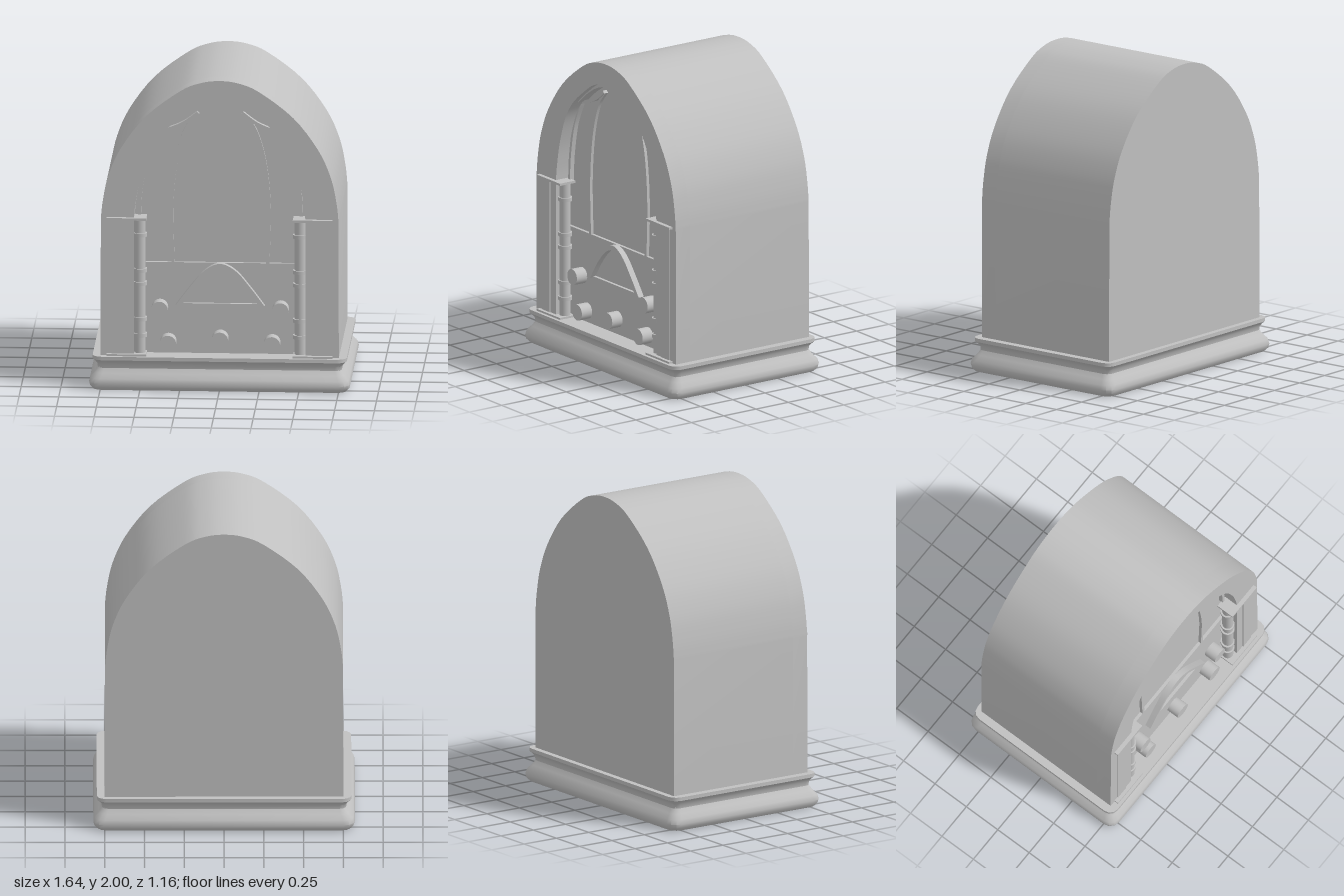
import * as THREE from 'three';
import { toCreasedNormals } from 'three/addons/utils/BufferGeometryUtils.js';

const grey = new THREE.MeshStandardMaterial({ color: 0xc0c0c0 });
grey.name = 'plain grey';

const FRONT = 0.51, BACK = -0.52, PANEL = 0.4, LOWER = 0.42;

function add(parent, name, geometry, x = 0, y = 0, z = 0) {
  const mesh = new THREE.Mesh(geometry, grey);
  mesh.name = name;
  mesh.position.set(x, y, z);
  parent.add(mesh);
  return mesh;
}

// Smooth symmetric arch from left to right, given its left half up to the crown
function arch(half, n = 56) {
  const right = half.slice(0, -1).reverse().map(([x, y]) => [-x, y]);
  return new THREE.SplineCurve([...half, ...right].map(p => new THREE.Vector2(...p))).getPoints(n);
}

function slab(points, depth) {
  const g = new THREE.ExtrudeGeometry(new THREE.Shape(points), { depth, bevelEnabled: false });
  return toCreasedNormals(g, 0.5);
}

// Flat curved rib of constant width
function rib(pts, width, depth) {
  const curve = new THREE.SplineCurve(pts.map(p => new THREE.Vector2(...p)));
  const a = [], b = [];
  for (let i = 0; i <= 24; i++) {
    const p = curve.getPoint(i / 24), t = curve.getTangent(i / 24);
    a.push(new THREE.Vector2(p.x - t.y * width / 2, p.y + t.x * width / 2));
    b.unshift(new THREE.Vector2(p.x + t.y * width / 2, p.y - t.x * width / 2));
  }
  return slab([...a, ...b], depth);
}

// Rectangular moulding: sweeps a profile of [inset, y] around a rounded rectangle
function moulding(profile, hx, hz) {
  const pos = [], idx = [], steps = 3, n = 4 * (steps + 1);
  for (const [inset, y] of profile) {
    const r = Math.max(0.07 - inset * 0.5, 0.03);
    for (let c = 0; c < 4; c++) {
      const sx = c === 0 || c === 3 ? 1 : -1, sz = c < 2 ? -1 : 1;
      for (let k = 0; k <= steps; k++) {
        const t = (c + k / steps) * Math.PI / 2;
        pos.push(sx * (hx - inset - r) + r * Math.cos(t), y, sz * (hz - inset - r) - r * Math.sin(t));
      }
    }
  }
  for (let j = 0; j < profile.length - 1; j++) {
    for (let i = 0; i < n; i++) {
      const a = j * n + i, b = j * n + (i + 1) % n;
      idx.push(a, b, b + n, a, b + n, a + n);
    }
  }
  const g = new THREE.BufferGeometry();
  g.setAttribute('position', new THREE.Float32BufferAttribute(pos, 3));
  g.setIndex(idx);
  return toCreasedNormals(g, 0.7);
}

export function createModel() {
  const root = new THREE.Group();
  root.name = 'archedCabinet';
  const V = (x, y) => new THREE.Vector2(x, y);

  // Moulded base, hollow underneath
  add(root, 'baseMoulding', moulding([
    [0.075, 0.075], [0.065, 0], [0.025, 0], [0.006, 0.02], [0, 0.045], [0.008, 0.075], [0.035, 0.105],
    [0.054, 0.135], [0.05, 0.16], [0.035, 0.18], [0.022, 0.192], [0.022, 0.215], [0.09, 0.215],
  ], 0.822, 0.58));
  add(root, 'baseFloor', new THREE.BoxGeometry(1.51, 0.14, 1.03), 0, 0.144, 0);

  // Cabinet with a recessed arched front
  const outer = arch([[-0.748, 1.1], [-0.735, 1.22], [-0.7, 1.38], [-0.62, 1.56], [-0.464, 1.765],
    [-0.25, 1.93], [-0.12, 1.985], [0, 2]]);
  const inner = arch([[-0.54, 1.1], [-0.53, 1.2], [-0.5, 1.36], [-0.44, 1.54], [-0.36, 1.66],
    [-0.25, 1.755], [-0.13, 1.835], [0, 1.862]]);
  add(root, 'cabinetBody', slab([V(-0.75, 0.2), ...outer, V(0.75, 0.2)], PANEL - BACK), 0, 0, BACK);
  add(root, 'frontFrame', slab([V(-0.75, 0.2), ...outer, V(0.75, 0.2), V(0.54, 0.2),
    ...inner.slice().reverse(), V(-0.54, 0.2)], FRONT - PANEL), 0, 0, PANEL);
  add(root, 'controlPanel', new THREE.BoxGeometry(1.08, 0.6, 0.03), 0, 0.5, LOWER - 0.015);

  // Tracery ribs over the upper panel
  const crown = arch([[-0.36, 1.655], [-0.25, 1.745], [-0.13, 1.812], [0, 1.832]], 24);
  const crownTop = arch([[-0.36, 1.665], [-0.25, 1.76], [-0.13, 1.84], [0, 1.866]], 24);
  add(root, 'crownRib', slab([...crown, ...crownTop.reverse()], 0.07), 0, 0, PANEL);

  for (const s of [-1, 1]) {
    const side = new THREE.Group();
    side.name = s < 0 ? 'rightSide' : 'leftSide';
    root.add(side);
    const m = pts => pts.map(([x, y]) => [s * x, y]);
    add(side, 'innerRib', rib(m([[0.298, 0.8], [0.307, 1.15], [0.28, 1.45], [0.22, 1.66], [0.14, 1.77]]), 0.02, 0.02), 0, 0, PANEL);
    add(side, 'diagonalRib', rib(m([[0.14, 1.772], [0.24, 1.7], [0.38, 1.645]]), 0.02, 0.03), 0, 0, PANEL);
    add(side, 'outerRib', rib(m([[0.51, 1.1], [0.5, 1.27], [0.46, 1.48], [0.39, 1.64]]), 0.02, 0.03), 0, 0, PANEL);

    // Ringed column between two ledges, with a thin flat pilaster beside it
    add(side, 'column', new THREE.CylinderGeometry(0.035, 0.035, 0.89, 24), s * 0.505, 0.655, 0.465);
    for (const y of [0.99, 0.76, 0.675, 0.445, 0.34]) {
      add(side, 'columnRing', new THREE.CylinderGeometry(0.044, 0.044, 0.024, 24), s * 0.503, y, 0.465);
    }
    for (const y of [1.102, 0.22]) {
      add(side, 'ledge', new THREE.BoxGeometry(0.25, 0.015, 0.12), s * 0.586, y, 0.477);
    }
    add(side, 'pilaster', new THREE.BoxGeometry(0.08, 0.88, 0.006), s * 0.64, 0.66, FRONT + 0.002);
  }

  // Arched dial hood and its sill
  const hoodOut = arch([[-0.28, 0.53], [-0.2, 0.638], [-0.1, 0.755], [0, 0.802]], 32);
  const hoodIn = arch([[-0.243, 0.53], [-0.16, 0.655], [-0.075, 0.742], [0, 0.77]], 32);
  add(root, 'dialHood', slab([...hoodOut, ...hoodIn.reverse()], 0.04), 0, 0, LOWER);
  add(root, 'dialSill', new THREE.BoxGeometry(0.54, 0.012, 0.02), 0, 0.534, LOWER + 0.01);

  // Control knobs
  for (const [x, y] of [[-0.38, 0.51], [0.38, 0.51], [-0.327, 0.29], [0.327, 0.29], [0, 0.315]]) {
    add(root, 'knob', new THREE.CylinderGeometry(0.052, 0.052, 0.08, 28), x, y, LOWER + 0.04).rotation.x = Math.PI / 2;
  }
  return root;
}
